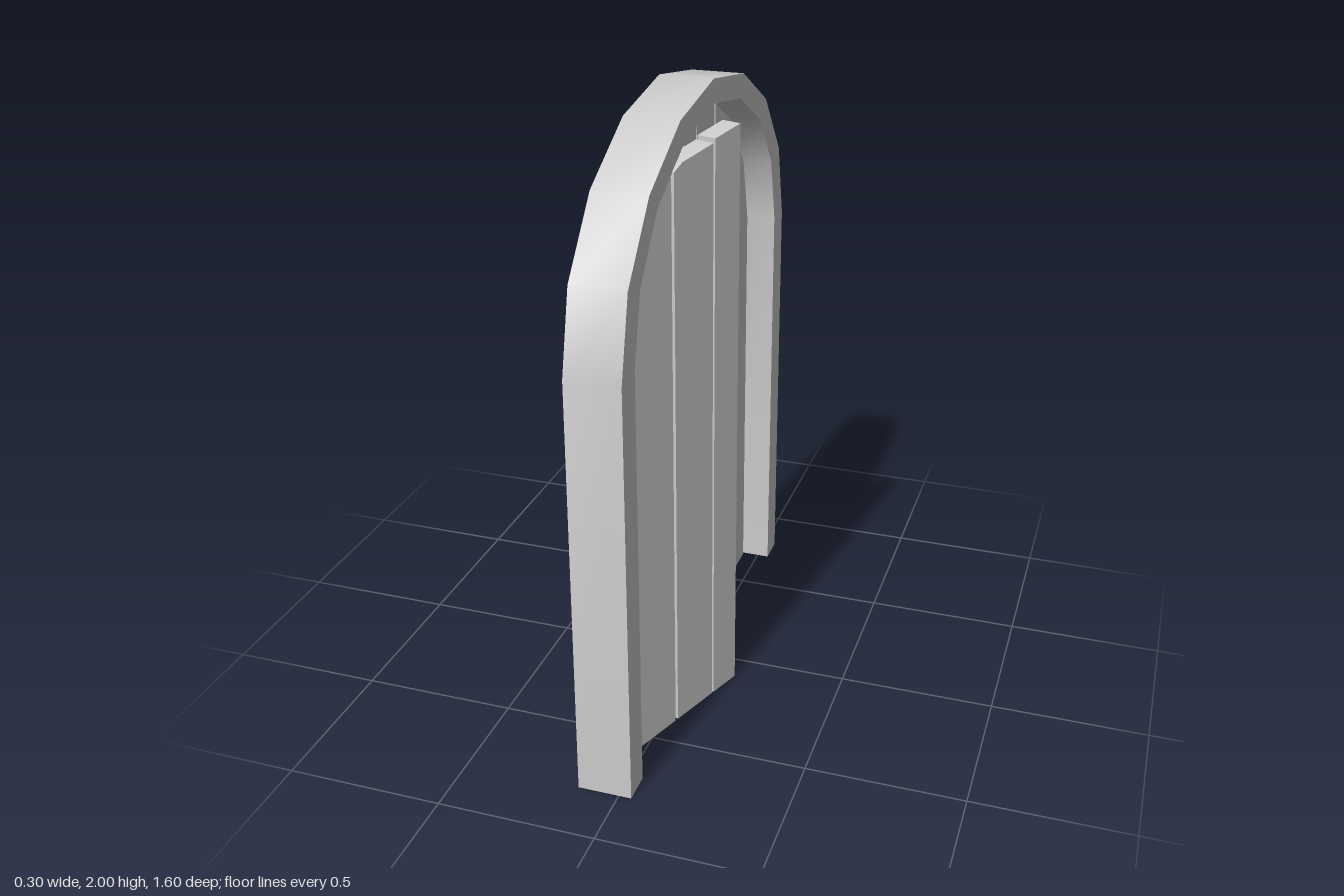
import * as THREE from 'three';
import { toCreasedNormals } from 'three/addons/utils/BufferGeometryUtils.js';

const grey = new THREE.MeshStandardMaterial({ color: 0xcccccc });
const greyThin = new THREE.MeshStandardMaterial({ color: 0xcccccc, side: THREE.DoubleSide });

// Half arches as [distance from the middle, height], crown first
const OUTER = [[0, 2], [0.305, 1.95], [0.565, 1.81], [0.74, 1.6], [0.8, 1.35]];
const INNER = [[0, 1.925], [0.27, 1.88], [0.5, 1.757], [0.645, 1.577], [0.7, 1.36]];
const LEAF = INNER.map(([d, y]) => [d * 0.986, y]);
const LEAF_WIDTH = 0.69, LEAF_THICK = 0.064;

// Full arch outline, from one foot over the crown to the other
function archOutline(half) {
  const left = half.slice(1).reverse().map(([d, y]) => [-d, y]);
  const w = half[half.length - 1][0];
  return [[-w, 0], ...left, ...half, [w, 0]];
}

const toShape = (pts) => new THREE.Shape(pts.map(([x, y]) => new THREE.Vector2(x, y)));

// Extrudes a z/y outline backwards from x = front
function slab(pts, front, depth) {
  const geo = new THREE.ExtrudeGeometry(toShape(pts), { depth, bevelEnabled: false });
  geo.rotateY(-Math.PI / 2).translate(front, 0, 0);
  return toCreasedNormals(geo, THREE.MathUtils.degToRad(35));
}

function addMesh(parent, name, geo, material = grey) {
  const mesh = new THREE.Mesh(geo, material);
  mesh.name = name;
  parent.add(mesh);
}

// Height of the leaf's curved top at a distance from its free edge
function leafTop(d) {
  for (let i = 1; i < LEAF.length; i++) {
    const [d0, y0] = LEAF[i - 1], [d1, y1] = LEAF[i];
    if (d <= d1) return y0 + ((y1 - y0) * (d - d0)) / (d1 - d0);
  }
  return LEAF[LEAF.length - 1][1];
}

// A door leaf of four planks; side is the z direction from free edge to hinge
function doorLeaf(name, side, drop, step) {
  const leaf = new THREE.Group();
  leaf.name = name;
  const planks = [[0, 0.118], [0.126, 0.305], [0.317, 0.497], [0.501, LEAF_WIDTH]];
  planks.forEach(([a, b], i) => {
    const lower = drop + (i > 0 ? step : 0);
    const stops = [a, ...LEAF.map((p) => p[0]).filter((d) => d > a + 0.001 && d < b - 0.001), b];
    const top = stops.map((d) => [side * d, leafTop(d) - lower]);
    addMesh(leaf, 'plank' + (i + 1), slab([[side * b, 0], [side * a, 0], ...top], 0, LEAF_THICK));
  });
  return leaf;
}

export function createModel() {
  const model = new THREE.Group();
  model.name = 'archedDoor';

  // Arched frame, open at the bottom
  const ring = [...archOutline(OUTER), ...archOutline(INNER).reverse()];
  addMesh(model, 'frame', slab(ring, 0.04, 0.17));

  // Thin panel closing the back of the doorway
  const back = new THREE.ShapeGeometry(toShape(archOutline(INNER)));
  back.rotateY(-Math.PI / 2).translate(-0.13, 0, 0);
  addMesh(model, 'backPanel', back, greyThin);

  // Closed leaf
  const closed = doorLeaf('closedLeaf', -1, 0.008, 0);
  closed.position.set(-0.055, 0, 0);
  model.add(closed);

  // Leaf standing ajar
  const open = doorLeaf('openLeaf', 1, 0.026, 0.01);
  open.position.set(0.15, 0, 0.095);
  open.rotation.y = THREE.MathUtils.degToRad(-20);
  model.add(open);

  return model;
}
